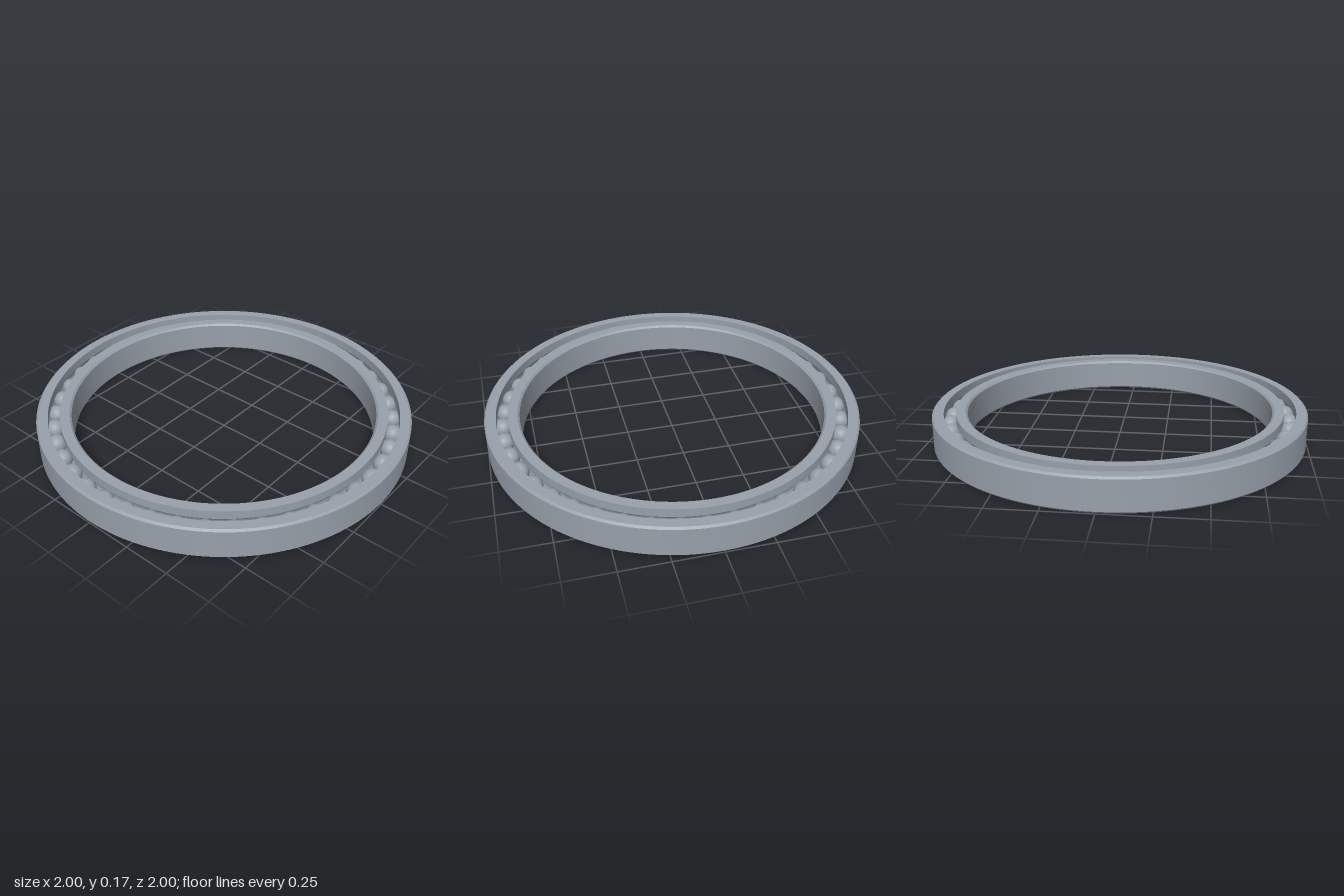
import * as THREE from 'three';
import { toCreasedNormals } from 'three/addons/utils/BufferGeometryUtils.js';

const HEIGHT = 0.175, MID = HEIGHT / 2;
const OUTER = 1, BORE = 0.816, PITCH = (OUTER + BORE) / 2;
const HALF_GAP = 0.031, BALL = 0.05, GROOVE = 0.051, CHAMFER = 0.01;
const BALL_COUNT = 43;

// Points of a raceway groove; side is +1 for the outer ring, -1 for the inner ring
function groove(side) {
  const reach = Math.acos(HALF_GAP / GROOVE), points = [];
  for (let i = 0; i <= 12; i++) {
    const a = reach * (1 - i / 6);
    points.push([PITCH + side * GROOVE * Math.cos(a), MID - side * GROOVE * Math.sin(a) * -1]);
  }
  return points;
}

// Revolves a closed counter-clockwise section, keeping its edges sharp
function ring(name, section, material) {
  const points = [...section, section[0]].map(([r, y]) => new THREE.Vector2(r, y));
  const geometry = toCreasedNormals(new THREE.LatheGeometry(points, 144), 0.4);
  const mesh = new THREE.Mesh(geometry, material);
  mesh.name = name;
  return mesh;
}

export function createModel() {
  const group = new THREE.Group();
  group.name = 'ballBearing';
  const steel = new THREE.MeshStandardMaterial({ color: 0x98a0aa });
  steel.name = 'steel';

  // Outer race: chamfered outside, ball groove inside
  const outerLand = PITCH + HALF_GAP;
  group.add(ring('outerRace', [
    [outerLand, 0], [OUTER - CHAMFER, 0], [OUTER, CHAMFER],
    [OUTER, HEIGHT - CHAMFER], [OUTER - CHAMFER, HEIGHT], [outerLand, HEIGHT],
    ...groove(1),
  ], steel));

  // Inner race: ball groove outside, chamfered bore
  const innerLand = PITCH - HALF_GAP;
  group.add(ring('innerRace', [
    [innerLand, 0], ...groove(-1), [innerLand, HEIGHT],
    [BORE + CHAMFER, HEIGHT], [BORE, HEIGHT - CHAMFER],
    [BORE, CHAMFER], [BORE + CHAMFER, 0],
  ], steel));

  // Balls spaced evenly around the pitch circle
  const balls = new THREE.Group();
  balls.name = 'balls';
  const ballGeometry = new THREE.SphereGeometry(BALL, 32, 20);
  for (let i = 0; i < BALL_COUNT; i++) {
    const a = THREE.MathUtils.degToRad(3.4) + (i / BALL_COUNT) * Math.PI * 2;
    const ball = new THREE.Mesh(ballGeometry, steel);
    ball.name = 'ball';
    ball.position.set(PITCH * Math.cos(a), MID, PITCH * Math.sin(a));
    balls.add(ball);
  }
  group.add(balls);
  return group;
}
